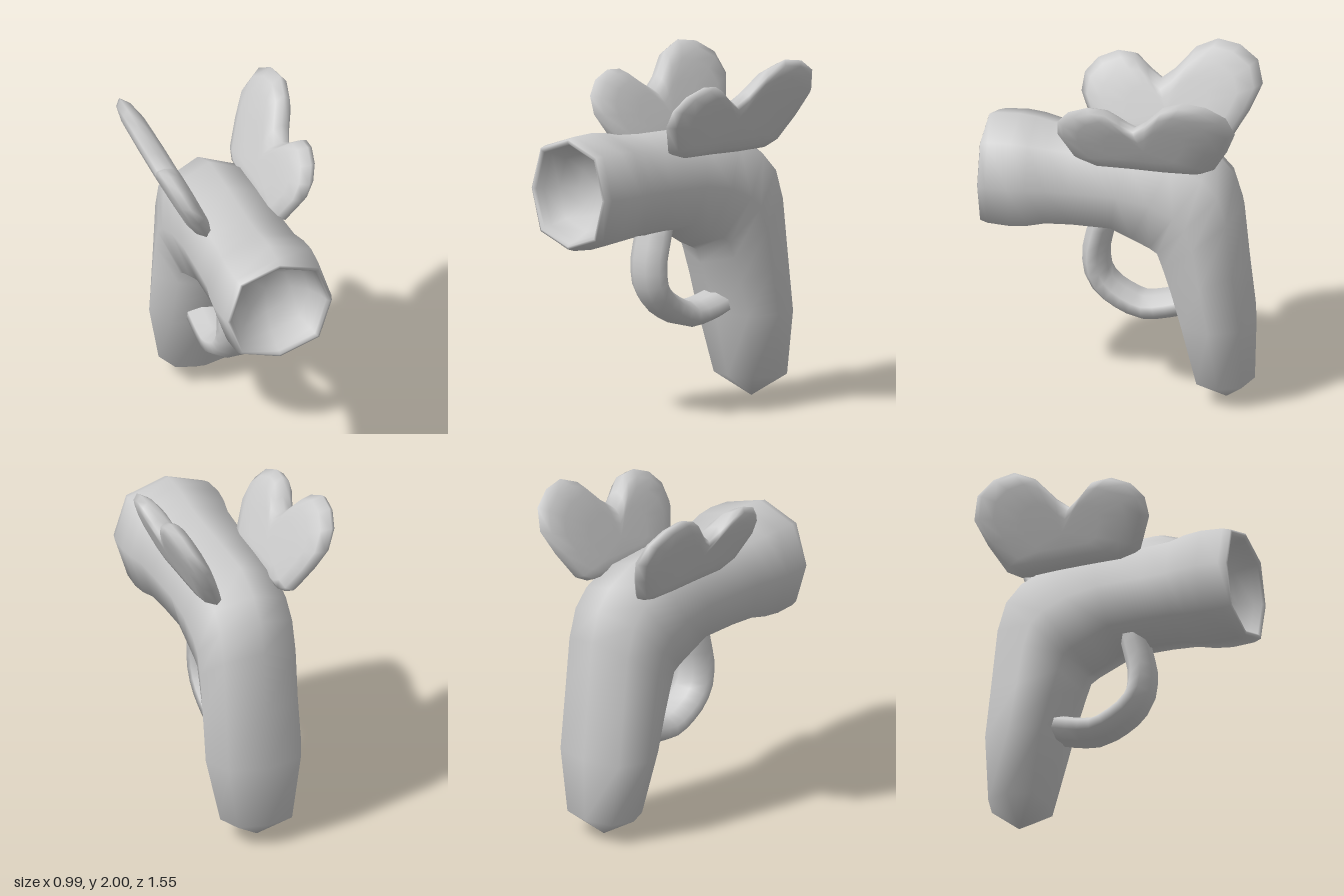
import * as THREE from 'three';
import { mergeVertices } from 'three/addons/utils/BufferGeometryUtils.js';

const material = new THREE.MeshStandardMaterial({ color: 0xcccccc });

// Skin a list of equal-length closed rings of [x, y, z] points with smooth normals.
function loft(name, rings) {
  const n = rings[0].length;
  const index = [];
  for (let i = 0; i < rings.length - 1; i++) {
    for (let j = 0; j < n; j++) {
      const k = (j + 1) % n;
      const a = i * n + j, b = i * n + k, c = a + n, d = b + n;
      index.push(a, b, d, a, d, c);
    }
  }
  let geometry = new THREE.BufferGeometry();
  geometry.setAttribute('position', new THREE.Float32BufferAttribute(rings.flat(2), 3));
  geometry.setIndex(index);
  geometry = mergeVertices(geometry);
  geometry.computeVertexNormals();
  const mesh = new THREE.Mesh(geometry, material);
  mesh.name = name;
  return mesh;
}

// Octagonal ring between an upper/back and a lower/front point, w = half width.
function octagon([z1, y1, z2, y2, w]) {
  return Array.from({ length: 8 }, (_, j) => {
    const a = (j * Math.PI) / 4;
    const f = j % 2 ? 1.07 : 1;
    const c = (1 + f * Math.cos(a)) / 2;
    return [w * f * Math.sin(a), y2 + (y1 - y2) * c, z2 + (z1 - z2) * c];
  });
}

// Barrel and grip: one bent body running from the hollow muzzle to the grip tip
function makeBody() {
  const round = (z, r) => [z, 1.3 + r, z, 1.3 - r, r];
  const sections = [
    // muzzle bowl and rim
    round(0.54, 0), round(0.57, 0.14), round(0.64, 0.23), round(0.72, 0.275),
    round(0.765, 0.285), round(0.78, 0.3), round(0.775, 0.315),
    // barrel
    round(0.73, 0.328), round(0.6, 0.335), round(0.5, 0.325), round(0.4, 0.302),
    [0.25, 1.592, 0.25, 1.005, 0.295],
    [-0.08, 1.59, 0.04, 1.0, 0.29],
    // elbow
    [-0.36, 1.58, -0.06, 0.94, 0.29],
    [-0.55, 1.49, -0.15, 0.9, 0.29],
    [-0.65, 1.38, -0.19, 0.88, 0.29],
    [-0.705, 1.2, -0.22, 0.8, 0.29],
    // grip
    [-0.74, 0.85, -0.27, 0.68, 0.29],
    [-0.775, 0.5, -0.33, 0.5, 0.292],
    [-0.765, 0.13, -0.42, 0.13, 0.22],
    [-0.6, 0, -0.6, 0, 0],
  ];
  return loft('body', sections.map(octagon));
}

// Trigger guard: flattened tube swept along a curve
function makeGuard() {
  const path = [[1.06, 0.11], [0.97, 0.13], [0.84, 0.157], [0.7, 0.14], [0.61, 0.07],
    [0.545, -0.04], [0.52, -0.11], [0.53, -0.22], [0.56, -0.33], [0.57, -0.4]];
  const curve = new THREE.CatmullRomCurve3(path.map(([y, z]) => new THREE.Vector3(0, y, z)));
  const steps = 14;
  const rings = [];
  for (let i = 0; i <= steps; i++) {
    const p = curve.getPointAt(i / steps);
    const d = curve.getTangentAt(i / steps);
    const n = d.clone().cross(new THREE.Vector3(1, 0, 0));
    rings.push(Array.from({ length: 8 }, (_, j) => {
      const a = ((j + 0.5) * Math.PI) / 4;
      const s = 0.078 * Math.sin(a);
      return [-0.015 + 0.135 * Math.cos(a), p.y + n.y * s, p.z + n.z * s];
    }));
  }
  return loft('triggerGuard', rings);
}

// Two-lobed wing leaning outwards; side is +1 for left, -1 for right
function makeWing(side) {
  const outline = [[0.31, 1.67], [0.3, 1.77], [0.23, 1.85], [0.12, 1.895], [0.03, 1.89],
    [-0.06, 1.82], [-0.14, 1.77], [-0.22, 1.83], [-0.33, 1.95], [-0.45, 2], [-0.58, 1.98],
    [-0.69, 1.91], [-0.73, 1.79], [-0.67, 1.65], [-0.58, 1.5], [-0.5, 1.46], [-0.3, 1.455],
    [-0.1, 1.46], [0.12, 1.46], [0.23, 1.51]];
  const cz = -0.2, cy = 1.63;
  // [scale towards the centre, offset in x]
  const layers = [[0, 0.07], [0.45, 0.07], [0.75, 0.065], [0.92, 0.043], [1, 0]];
  const back = layers.slice(0, -1).reverse().map(([s, t]) => [s, -t]);
  const rings = [...layers, ...back].map(([s, t]) => outline.map(([z, y]) => {
    const py = cy + (y - cy) * s;
    return [side * (0.215 + 0.46 * (py - 1.46)) + t, py, cz + (z - cz) * s];
  }));
  return loft(side > 0 ? 'leftWing' : 'rightWing', rings);
}

export function createModel() {
  const group = new THREE.Group();
  group.name = 'wingedBlaster';
  group.add(makeBody(), makeGuard(), makeWing(1), makeWing(-1));
  return group;
}
